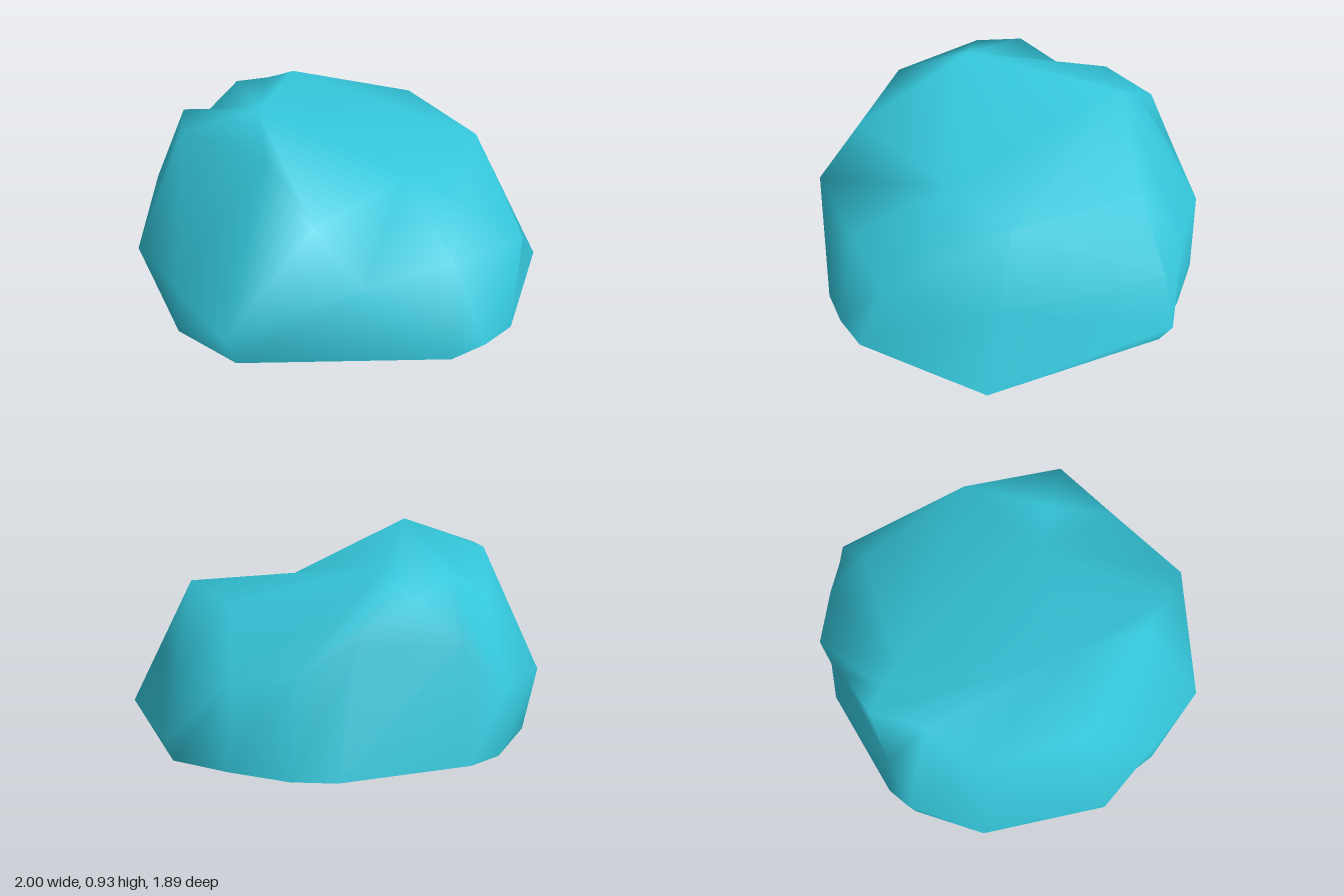
import * as THREE from 'three';

// Cross-sections of the boulder, each running from +x round through +z
const rim = [
  [1, 0, 0.11], [0.7, 0, 0.7], [0.55, 0, 0.81], [0.38, 0, 0.89],
  [-0.55, 0, 0.81], [-0.81, 0, 0.56], [-0.935, 0, 0.2], [-0.9, 0, -0.38],
  [-0.71, 0, -0.7], [-0.57, 0, -0.8], [0, 0, -0.95], [0.19, 0, -0.93],
  [0.45, 0, -0.82], [0.69, 0, -0.69],
];
const belly = [
  [0.835, 0.325, 0.055], [0.76, 0.39, 0.56], [0.4, 0.4, 0.74], [-0.02, 0.43, 0.945],
  [-0.59, 0.17, 0.86], [-0.8, 0.2, 0.53], [-1, 0.23, 0.2], [-0.95, 0.3, -0.4],
  [-0.725, 0.3, -0.705], [-0.53, 0.51, -0.725], [-0.08, 0.56, -0.825], [0.17, 0.42, -0.91],
  [0.43, 0.39, -0.8], [0.716, 0.105, -0.737],
];
const shoulder = [
  [0.67, 0.65, 0], [0.51, 0.49, 0.41], [0.27, 0.58, 0.27], [-0.2, 0.63, 0.75],
  [-0.38, 0.838, 0.55], [-0.75, 0.81, 0.16], [-0.75, 0.818, -0.08], [-0.7, 0.64, -0.36],
  [-0.5, 0.78, -0.52], [-0.33, 0.71, -0.74], [-0.26, 0.76, -0.65], [-0.2, 0.81, -0.56],
  [0.44, 0.66, -0.58], [0.665, 0.38, -0.68],
];
const peak = [-0.4, 0.925, 0.2];

function rockGeometry() {
  const rings = [rim, belly, shoulder];
  const n = rim.length;
  const index = [];

  // Walls between neighbouring cross-sections
  for (let r = 0; r < rings.length - 1; r++) {
    for (let i = 0; i < n; i++) {
      const a = r * n + i;
      const b = r * n + (i + 1) % n;
      index.push(a, a + n, b, a + n, b + n, b);
    }
  }

  // Top: the high side fans from the peak, the back corner from the side knob
  const top = (rings.length - 1) * n;
  const [knob, saddle, crest] = [top, top + 2, top + 11];
  const peakId = rings.length * n;
  for (let i = 2; i < n - 1; i++) {
    index.push(i < 11 ? peakId : knob, top + i + 1, top + i);
  }

  // Dip between the peak, the back crest and the side knob
  index.push(peakId, saddle, crest, saddle, knob, crest, saddle, top + 1, knob);

  const geometry = new THREE.BufferGeometry();
  const points = [...rings.flat(), peak].flat();
  geometry.setAttribute('position', new THREE.Float32BufferAttribute(points, 3));
  geometry.setIndex(index);
  geometry.computeVertexNormals();
  return geometry;
}

export function createModel() {
  const group = new THREE.Group();
  group.name = 'boulder';

  // Open underneath, so both sides show
  const stone = new THREE.MeshStandardMaterial({ color: 0x34c6da, side: THREE.DoubleSide });
  stone.name = 'turquoise stone';

  const shell = new THREE.Mesh(rockGeometry(), stone);
  shell.name = 'rockShell';
  group.add(shell);
  return group;
}
